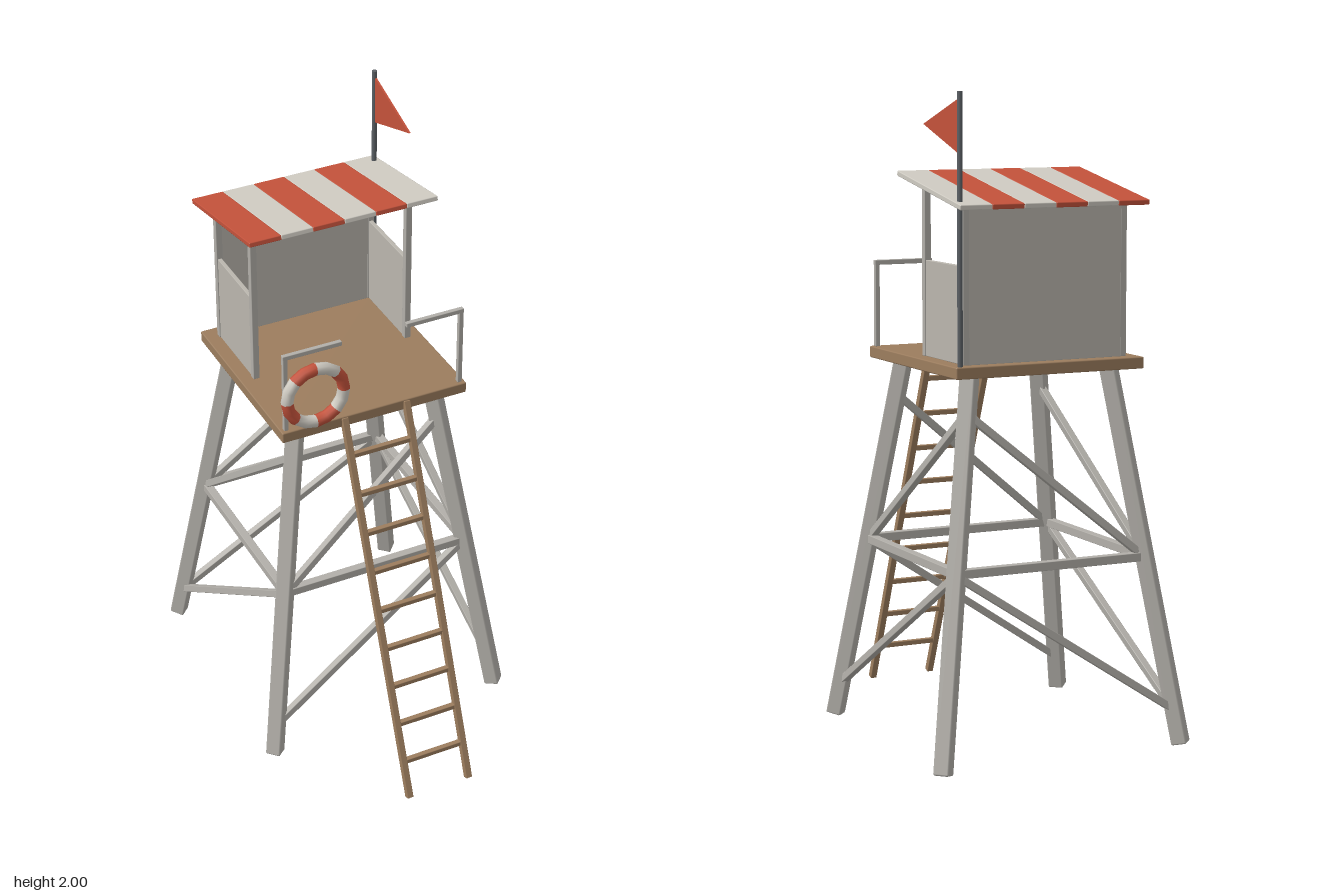
import * as THREE from 'three';
import { RoundedBoxGeometry } from 'three/addons/geometries/RoundedBoxGeometry.js';

function mat(name, color) {
  const m = new THREE.MeshStandardMaterial({ color });
  m.name = name;
  return m;
}

const V = (x, y, z) => new THREE.Vector3(x, y, z);
const UP = V(0, 1, 0);

export function createModel() {
  const model = new THREE.Group();
  model.name = 'lifeguardTower';

  const timber = mat('weatheredTimber', 0xb2afa9);
  const wall = mat('wallPaint', 0xbab6ae);
  const wood = mat('brownWood', 0x9c7d5e);
  const red = mat('red', 0xc4523b);
  const white = mat('offWhite', 0xd0ccc3);
  const metal = mat('poleMetal', 0x5c6166);

  function add(name, geometry, material, x = 0, y = 0, z = 0, parent = model) {
    const mesh = new THREE.Mesh(geometry, material);
    mesh.name = name;
    mesh.position.set(x, y, z);
    parent.add(mesh);
    return mesh;
  }

  // Box with slightly bevelled edges
  function box(name, material, w, h, d, x, y, z, bevel = 0.002, parent = model) {
    return add(name, new RoundedBoxGeometry(w, h, d, 1, bevel), material, x, y, z, parent);
  }

  // Square bar between two points, with optional twist about its length
  function bar(name, material, a, b, size, twist = 0, bevel = 0.002, parent = model) {
    const dir = b.clone().sub(a);
    const g = new RoundedBoxGeometry(size, dir.length(), size, 1, bevel);
    g.rotateY(twist);
    const mesh = add(name, g, material, 0, 0, 0, parent);
    mesh.position.copy(a).add(b).multiplyScalar(0.5);
    mesh.quaternion.setFromUnitVectors(UP, dir.normalize());
    return mesh;
  }

  // Splayed legs: a point on the leg at height y
  const ZC = -0.18;
  const legPoint = (sx, sz, y) => {
    const half = 0.405 - 0.146 * y;
    return V(sx * half, y, ZC + sz * half);
  };
  for (const sx of [-1, 1]) {
    for (const sz of [-1, 1]) {
      bar('leg', timber, legPoint(sx, sz, 0.006), legPoint(sx, sz, 1.17), 0.049, Math.PI / 4, 0.005);
    }
  }

  // Braces on each face: [low corner, high corner]
  const faces = [
    [[-1, 1], [1, 1]],
    [[-1, -1], [1, -1]],
    [[1, 1], [1, -1]],
    [[-1, -1], [-1, 1]],
  ];
  for (const [low, high] of faces) {
    bar('lowerDiagonalBrace', timber, legPoint(...low, 0.11), legPoint(...high, 0.58), 0.023);
    bar('upperDiagonalBrace', timber, legPoint(...low, 0.58), legPoint(...high, 1.05), 0.023);
    bar('horizontalBrace', timber, legPoint(...low, 0.585), legPoint(...high, 0.585), 0.027);
  }

  // Platform
  box('platform', wood, 0.63, 0.036, 0.63, 0, 1.18, -0.178, 0.004);

  // Ladder
  const ladder = new THREE.Group();
  ladder.name = 'ladder';
  model.add(ladder);
  const ladderZ = (y) => 0.607 - 0.398 * y;
  for (const sx of [-1, 1]) {
    bar('ladderRail', wood, V(sx * 0.106, 0.006, ladderZ(0.006)), V(sx * 0.106, 1.192, ladderZ(1.192)),
      0.021, 0, 0.002, ladder);
  }
  for (let i = 0; i < 9; i++) {
    const y = 0.122 + i * 0.1195;
    box('ladderRung', wood, 0.2, 0.016, 0.017, 0, y, ladderZ(y), 0.002, ladder);
  }

  // Cabin walls and posts
  box('backWall', wall, 0.525, 0.465, 0.018, 0, 1.43, -0.444);
  for (const sx of [-1, 1]) {
    box('sidePanel', wall, 0.014, 0.292, 0.262, sx * 0.264, 1.344, -0.306);
    box('frontPost', timber, 0.021, 0.522, 0.021, sx * 0.264, 1.459, -0.178);
    box('backPost', timber, 0.021, 0.468, 0.021, sx * 0.264, 1.432, -0.443);
  }

  // Sloping striped roof
  const roof = new THREE.Group();
  roof.name = 'roof';
  roof.position.set(0, 1.707, -0.298);
  roof.rotation.x = -Math.atan(0.184);
  model.add(roof);
  for (let i = 0; i < 6; i++) {
    box('roofStripe', i % 2 ? white : red, 0.105, 0.016, 0.45, -0.2625 + i * 0.105, 0, 0, 0.003, roof);
  }

  // Front handrails
  for (const sx of [-1, 1]) {
    box('handrailPost', timber, 0.015, 0.27, 0.015, sx * 0.297, 1.333, 0.119);
    box('handrail', timber, 0.196, 0.015, 0.015, sx * 0.207, 1.461, 0.119);
  }

  // Flagpole and pennant
  add('flagpole', new THREE.CylinderGeometry(0.0085, 0.0085, 0.81, 8), metal, 0.295, 1.595, -0.475);
  const pennant = new THREE.Shape([
    new THREE.Vector2(0, 0.08), new THREE.Vector2(0, -0.08), new THREE.Vector2(0.242, 0),
  ]);
  const flagGeometry = new THREE.ExtrudeGeometry(pennant, { depth: 0.006, bevelEnabled: false });
  flagGeometry.translate(0, 0, -0.003);
  flagGeometry.rotateY(-Math.PI / 2);
  add('flag', flagGeometry, red, 0.296, 1.9, -0.475);

  // Lifebuoy in eight alternating sections
  const buoy = new THREE.Group();
  buoy.name = 'lifebuoy';
  buoy.position.set(-0.208, 1.315, 0.146);
  model.add(buoy);
  for (let i = 0; i < 8; i++) {
    const section = add('lifebuoySection', new THREE.TorusGeometry(0.095, 0.02, 8, 2, Math.PI / 4),
      i % 2 ? white : red, 0, 0, 0, buoy);
    section.rotation.z = i * Math.PI / 4;
  }

  return model;
}
